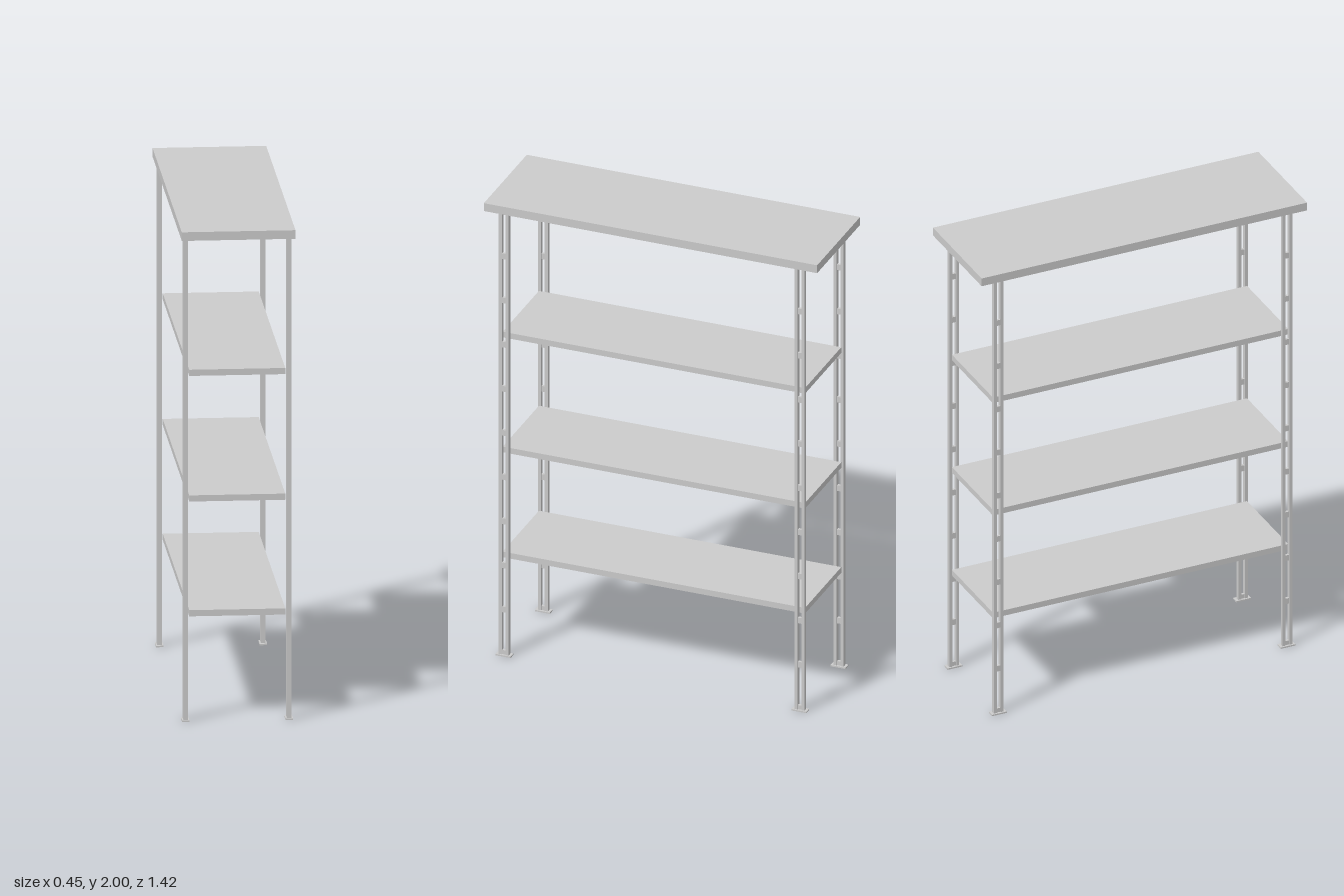
import * as THREE from 'three';

const material = new THREE.MeshStandardMaterial({ color: 0xcccccc });

function box(name, w, h, d, x, y, z) {
  const mesh = new THREE.Mesh(new THREE.BoxGeometry(w, h, d), material);
  mesh.name = name;
  mesh.position.set(x, y, z);
  return mesh;
}

// Ladder-like post: two slim bars joined by short rungs, on a foot plate
function createPost(x, z) {
  const post = new THREE.Group();
  post.name = 'post';
  const bottom = 0.006, top = 1.965;
  for (const s of [-1, 1]) {
    post.add(box('postBar', 0.018, top - bottom, 0.013, 0, (top + bottom) / 2, s * 0.0145));
  }
  for (let i = 0; i < 10; i++) {
    const y = i === 0 ? 0.015 : 0.008 + i * 0.196;
    post.add(box('rung', 0.011, i === 0 ? 0.018 : 0.025, 0.018, 0, y, 0));
  }
  post.add(box('footPlate', 0.03, bottom, 0.064, 0, bottom / 2, 0));
  post.position.set(x, 0, z);
  return post;
}

export function createModel() {
  const model = new THREE.Group();
  model.name = 'shelvingUnit';

  // Thick overhanging top board
  model.add(box('topBoard', 0.45, 0.035, 1.42, 0, 1.9825, 0));

  // Three thinner shelves between the posts
  for (const y of [0.437, 0.903, 1.413]) {
    model.add(box('shelf', 0.38, 0.025, 1.288, 0, y, 0));
  }

  // Four corner posts
  for (const x of [-0.205, 0.205]) {
    for (const z of [-0.63, 0.63]) model.add(createPost(x, z));
  }
  return model;
}
